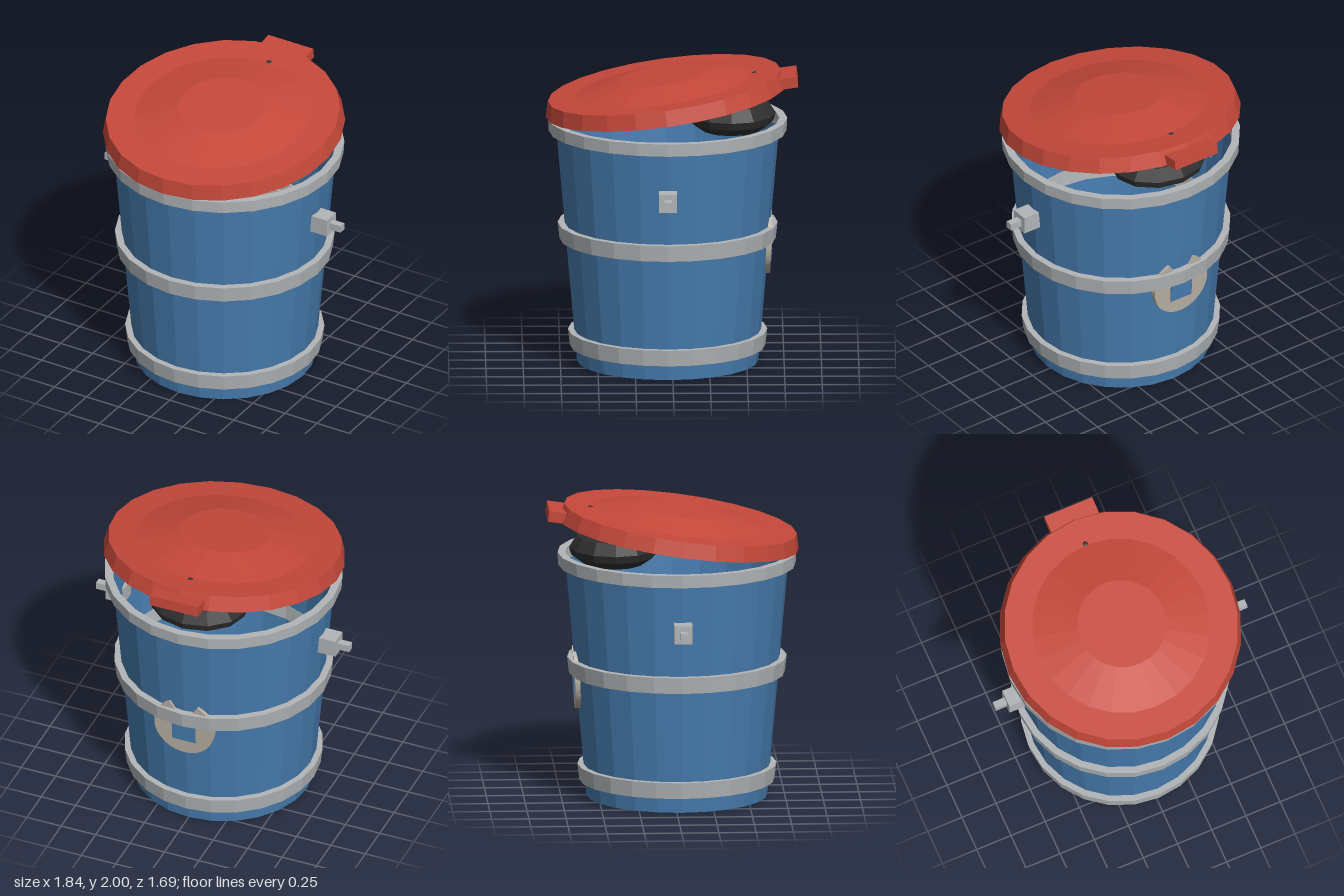
import * as THREE from 'three';

const SIDES = 24;
const AXIS_Z = 0.03;

const paint = (name, color, extra = {}) => {
  const m = new THREE.MeshStandardMaterial({ color, ...extra });
  m.name = name;
  return m;
};

// Splits shared corners so every facet gets its own flat normal
function faceted(geometry) {
  const g = geometry.index ? geometry.toNonIndexed() : geometry;
  g.computeVertexNormals();
  return g;
}

function add(parent, name, geometry, material, x = 0, y = 0, z = 0) {
  const mesh = new THREE.Mesh(faceted(geometry), material);
  mesh.name = name;
  mesh.position.set(x, y, z);
  parent.add(mesh);
  return mesh;
}

const lathe = (points, sides = SIDES) =>
  new THREE.LatheGeometry(points.map(([r, y]) => new THREE.Vector2(r, y)), sides);

// Radius of the tapered wall at a given height
const wall = (y) => 0.608 + 0.0873 * y;

export function createModel() {
  const blue = paint('blue', 0x477caf, { side: THREE.DoubleSide });
  const red = paint('red', 0xc5483a);
  const grey = paint('grey', 0xb2b5b7);
  const black = paint('black', 0x2e2e2e);
  const beige = paint('beige', 0xb8b0a3);

  const model = new THREE.Group();
  model.name = 'trashCan';

  // Open tapered body with a raised floor
  const can = new THREE.Group();
  can.name = 'can';
  can.position.z = AXIS_Z;
  model.add(can);
  add(can, 'body', lathe([[wall(0), 0], [wall(1.66), 1.66]]), blue);
  add(can, 'floor', new THREE.CylinderGeometry(wall(0.19), wall(0.18), 0.01, SIDES), grey, 0, 0.185, 0);

  // Metal hoops: bottom height, top height, bottom radius, top radius
  const hoops = [
    ['lowerHoop', 0.105, 0.215, 0.655, 0.668],
    ['middleHoop', 0.84, 0.95, 0.725, 0.737],
    ['rimHoop', 1.58, 1.665, 0.797, 0.802],
  ];
  for (const [name, y0, y1, r0, r1] of hoops) {
    const a = wall(y0) - 0.004, b = wall(y1) - 0.004;
    add(can, name, lathe([[a, y0], [r0, y0], [r1, y1], [b, y1], [a, y0]]), grey);
  }

  // Side handles: block with a square pin
  for (const [side, s] of [['left', 1], ['right', -1]]) {
    const handle = new THREE.Group();
    handle.name = side + 'Handle';
    handle.position.set(0, 1.266, 0.004);
    can.add(handle);
    add(handle, 'block', new THREE.BoxGeometry(0.135, 0.124, 0.122), grey, s * 0.768, 0, 0);
    add(handle, 'pin', new THREE.BoxGeometry(0.1, 0.05, 0.05), grey, s * 0.87, 0, 0);
  }

  // Back plate: notched disc with a blue panel
  const back = new THREE.Group();
  back.name = 'backPlate';
  back.position.set(0, 0.815, -0.628);
  back.rotation.y = Math.PI;
  model.add(back);
  const plate = new THREE.Group();
  plate.rotation.x = 0.036;
  back.add(plate);
  const notch = 1.086;
  const disc = new THREE.Shape();
  disc.absarc(0, 0, 0.215, Math.PI - notch, Math.PI * 2 + notch, false);
  disc.lineTo(0.045, 0.11);
  disc.lineTo(-0.045, 0.11);
  disc.closePath();
  add(plate, 'disc', new THREE.ExtrudeGeometry(disc, { depth: 0.035, bevelEnabled: false, curveSegments: 24 }), beige);
  add(plate, 'panel', new THREE.BoxGeometry(0.17, 0.24, 0.008), blue, 0, 0.01, 0.038);

  // Tilted lid with raised crown and rear tab
  const lid = new THREE.Group();
  lid.name = 'lid';
  lid.position.set(0, 1.788, 0.04);
  lid.rotation.x = 0.139;
  model.add(lid);
  add(lid, 'lidCover', lathe([[0, 0], [0.815, 0], [0.787, 0.104], [0.6, 0.104], [0.3, 0.17], [0, 0.17]]), red);
  add(lid, 'lidTab', new THREE.BoxGeometry(0.35, 0.072, 0.2), red, 0, 0.036, -0.793);

  // Rubbish bag with a tied knot poking through the lid
  const bag = new THREE.Group();
  bag.name = 'bag';
  bag.position.set(0, 1.7, -0.395);
  model.add(bag);
  const sack = add(bag, 'sack', lathe([[0, -0.15], [0.2, -0.11], [0.285, -0.05], [0.3, 0], [0.25, 0.08], [0.14, 0.125], [0, 0.14]], 12), black);
  sack.scale.x = 1.15;
  add(bag, 'knot', lathe([[0.06, 0.06], [0.07, 0.1], [0.095, 0.15], [0.07, 0.195], [0.025, 0.26], [0.02, 0.275], [0, 0.285]], 8), black, 0, 0, -0.158);

  return model;
}
